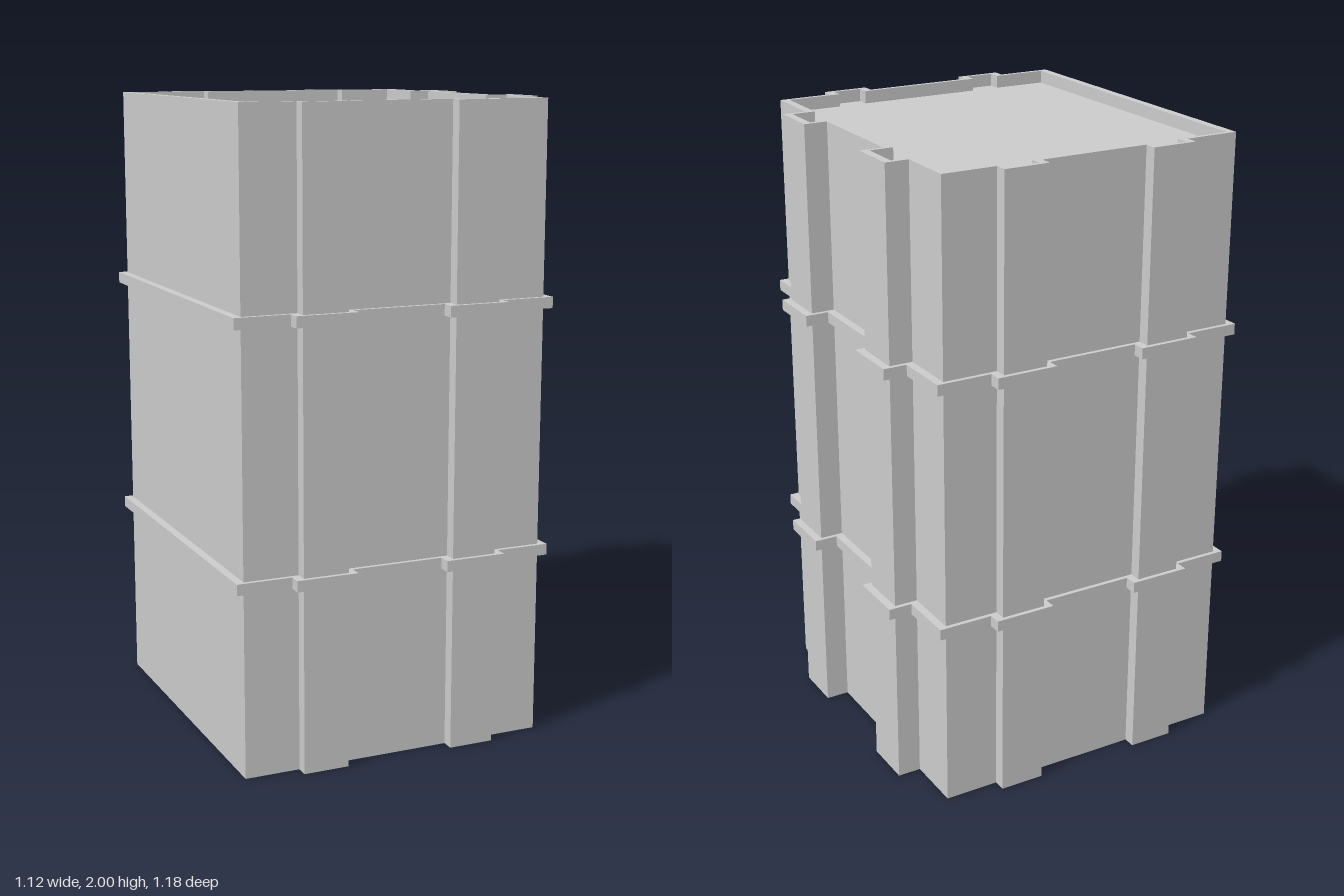
import * as THREE from 'three';

const HEIGHT = 2, RIM_DEPTH = 0.04;
const OFFSET_X = 0.026, OFFSET_Z = 0.0135; // wall thickness along each axis

// Corner list of the plan: [x, z, outward sign in x, outward sign in z]
function planCorners() {
  const front = [[-0.535, 0.537, -1, 1]];
  for (const [x0, x1] of [[-0.36, -0.215], [0.135, 0.28]]) {
    front.push([x0, 0.537, -1, 1], [x0, 0.577, -1, 1], [x1, 0.577, 1, 1], [x1, 0.537, 1, 1]);
  }
  front.push([0.455, 0.537, 1, 1]);
  const right = [];
  for (const [z0, z1] of [[0.345, 0.187], [-0.19, -0.35]]) {
    right.push([0.455, z0, 1, 1], [0.53, z0, 1, 1], [0.53, z1, 1, -1], [0.455, z1, 1, -1]);
  }
  const back = front.map(([x, z, sx, sz]) => [x, -z, sx, -sz]).reverse();
  return [...front, ...right, ...back];
}

const CORNERS = planCorners();

// Plan outline grown (k > 0) or shrunk (k < 0) by k wall thicknesses
const outline = (k) => CORNERS.map(([x, z, sx, sz]) => [x + sx * k * OFFSET_X, z + sz * k * OFFSET_Z]);

// Sweep a profile of [offset, y] pairs around the plan
function sweep(profile) {
  const pos = [];
  for (let s = 0; s < profile.length - 1; s++) {
    const [k0, y0] = profile[s], [k1, y1] = profile[s + 1];
    const lo = outline(k0), hi = outline(k1);
    for (let i = 0; i < lo.length; i++) {
      const j = (i + 1) % lo.length;
      const a = [lo[i][0], y0, lo[i][1]], b = [lo[j][0], y0, lo[j][1]];
      const c = [hi[j][0], y1, hi[j][1]], d = [hi[i][0], y1, hi[i][1]];
      pos.push(...a, ...b, ...c, ...a, ...c, ...d);
    }
  }
  const geo = new THREE.BufferGeometry();
  geo.setAttribute('position', new THREE.Float32BufferAttribute(pos, 3));
  geo.computeVertexNormals();
  return geo;
}

export function createModel() {
  const group = new THREE.Group();
  group.name = 'towerBlock';
  const material = new THREE.MeshStandardMaterial({ color: 0xcccccc, side: THREE.DoubleSide });
  const add = (name, geometry) => {
    const mesh = new THREE.Mesh(geometry, material);
    mesh.name = name;
    group.add(mesh);
  };

  // Open-bottomed walls with pilasters and a raised rim at the top
  add('walls', sweep([[0, 0], [0, HEIGHT], [-1, HEIGHT], [-1, HEIGHT - RIM_DEPTH]]));

  // Flat roof sunk inside the rim
  const roof = new THREE.Shape(outline(-1).map(([x, z]) => new THREE.Vector2(x, -z)));
  add('roof', new THREE.ShapeGeometry(roof).rotateX(-Math.PI / 2).translate(0, HEIGHT - RIM_DEPTH, 0));

  // Ledges running around the walls, inside and out
  for (const [name, y0, y1] of [['lowerLedge', 0.58, 0.615], ['upperLedge', 1.365, 1.4]]) {
    add(name, sweep([[-1, y0], [1, y0], [1, y1], [-1, y1], [-1, y0]]));
  }
  return group;
}
